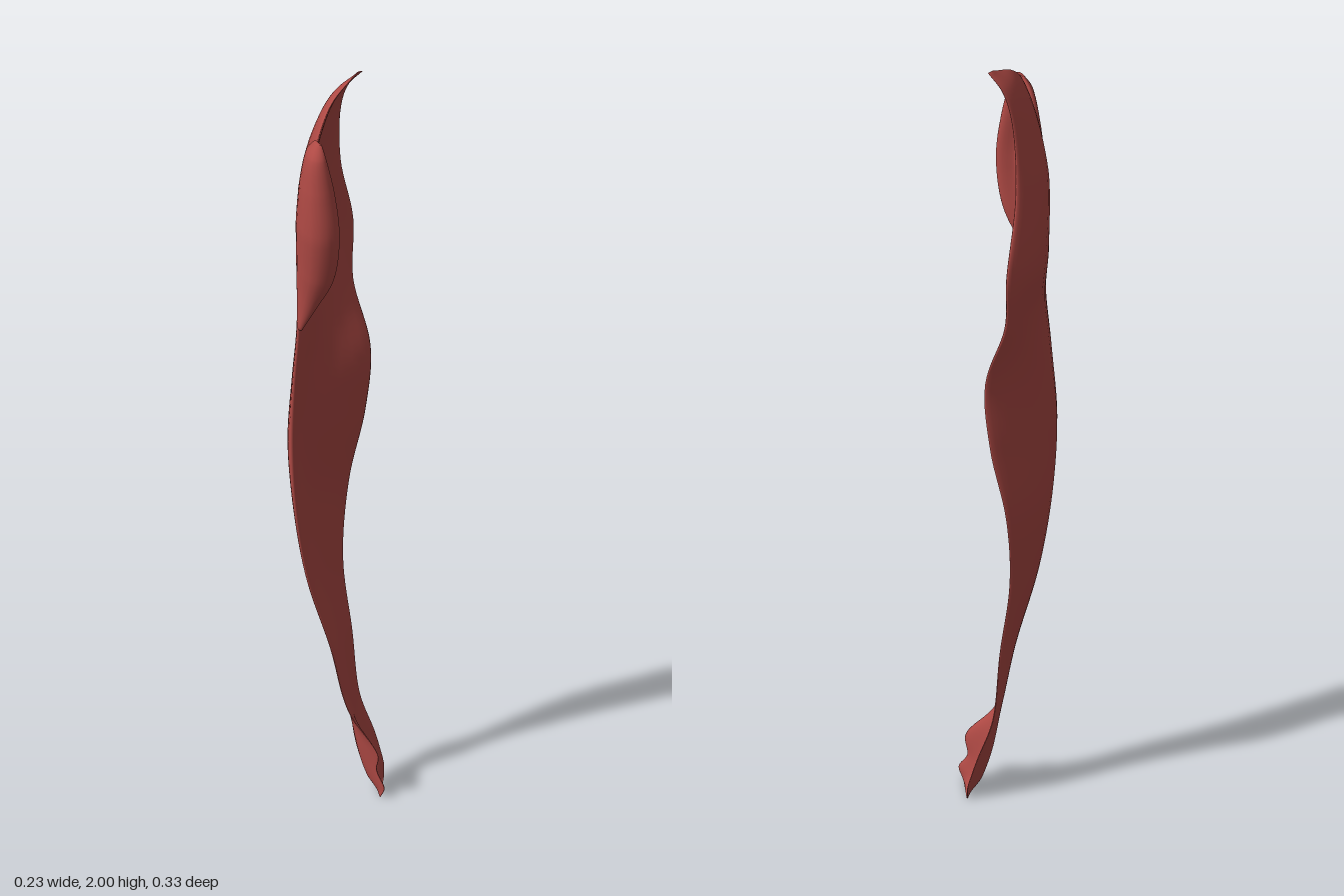
import * as THREE from 'three';

// Section: [y, thickness, front lip x, z, middle x, z, back lip x, z], listed top to bottom.
const BELLY = [
  [2.0, 0.004, 0.026, -0.046, 0.03, -0.052, 0.037, -0.058],
  [1.955, 0.014, -0.012, 0.03, -0.015, -0.02, 0.002, -0.068],
  [1.88, 0.022, -0.03, 0.092, -0.046, 0, -0.022, -0.08],
  [1.7, 0.034, -0.062, 0.085, -0.082, -0.02, -0.035, -0.117],
  [1.5, 0.036, -0.074, 0.085, -0.081, -0.06, -0.018, -0.165],
  [1.35, 0.034, -0.072, 0.1, -0.07, -0.025, -0.012, -0.143],
  [1.18, 0.032, -0.083, 0.1, -0.083, -0.005, 0.037, -0.123],
  [1.0, 0.032, -0.091, 0.087, -0.098, 0.01, 0.026, -0.12],
  [0.8, 0.028, -0.086, 0.07, -0.09, -0.005, -0.01, -0.106],
  [0.6, 0.022, -0.064, 0.046, -0.063, -0.008, -0.016, -0.077],
  [0.4, 0.016, -0.016, 0.02, -0.015, -0.025, 0.008, -0.071],
  [0.22, 0.01, 0.022, 0.004, 0.015, -0.035, 0.024, -0.078],
  [0.12, 0.012, 0.097, 0.016, 0.034, -0.03, 0.058, -0.082],
  [0.07, 0.013, 0.092, 0.009, 0.048, -0.03, 0.073, -0.081],
  [0.03, 0.013, 0.113, 0.018, 0.064, -0.03, 0.083, -0.078],
  [0.0, 0.008, 0.102, 0.013, 0.086, -0.03, 0.084, -0.073],
];
const FLAP = [
  [1.895, 0.008, -0.01, 0.115, -0.02, 0.112, -0.032, 0.098],
  [1.86, 0.03, 0.004, 0.123, -0.022, 0.126, -0.052, 0.082],
  [1.77, 0.046, 0.024, 0.123, -0.018, 0.135, -0.07, 0.07],
  [1.65, 0.052, 0.037, 0.126, -0.015, 0.138, -0.082, 0.062],
  [1.52, 0.042, 0.02, 0.118, -0.026, 0.122, -0.083, 0.062],
  [1.43, 0.026, -0.022, 0.11, -0.048, 0.105, -0.08, 0.073],
  [1.35, 0.006, -0.062, 0.1, -0.069, 0.098, -0.077, 0.088],
];

// Lofts a closed, lens-thick sheet through the sections.
function loftSheet(sections, rows, cols) {
  const n = sections.length;
  const rails = [2, 4, 6].map((k) => new THREE.CatmullRomCurve3(
    sections.map((s) => new THREE.Vector3(s[k], s[0], s[k + 1]))));
  const ring = 2 * cols;
  const positions = [];
  const index = [];

  for (let i = 0; i <= rows; i++) {
    const v = i / rows;
    const f = v * (n - 1);
    const s = Math.min(Math.floor(f), n - 2);
    const thickness = THREE.MathUtils.lerp(sections[s][1], sections[s + 1][1], f - s);
    const mid = new THREE.CatmullRomCurve3(rails.map((r) => r.getPoint(v)));
    for (let j = 0; j < ring; j++) {
      // Outer face runs front to back, inner face returns
      const a = (j / ring) * Math.PI * 2;
      const u = (1 - Math.cos(a)) / 2;
      const p = mid.getPoint(u);
      const t = mid.getTangent(u);
      const len = Math.hypot(t.x, t.z) || 1;
      const h = Math.sin(a) * thickness / 2;
      positions.push(p.x + (t.z / len) * h, p.y, p.z - (t.x / len) * h);
    }
  }
  for (let i = 0; i < rows; i++) {
    for (let j = 0; j < ring; j++) {
      const a = i * ring + j;
      const b = i * ring + (j + 1) % ring;
      index.push(a, b, a + ring, b, b + ring, a + ring);
    }
  }
  // End caps
  const last = rows * ring;
  for (let j = 1; j < ring - 1; j++) {
    index.push(0, j + 1, j, last, last + j, last + j + 1);
  }
  const geometry = new THREE.BufferGeometry();
  geometry.setAttribute('position', new THREE.Float32BufferAttribute(positions, 3));
  geometry.setIndex(index);
  geometry.computeVertexNormals();
  return geometry;
}

export function createModel() {
  const group = new THREE.Group();
  group.name = 'thighMuscle';
  const muscleRed = new THREE.MeshStandardMaterial({ color: 0xb04a45 });
  muscleRed.name = 'muscleRed';

  // Long curved belly, tapering to the hooked foot
  const belly = new THREE.Mesh(loftSheet(BELLY, 120, 16), muscleRed);
  belly.name = 'muscleBelly';

  // Leaf-shaped fold along the upper front edge
  const flap = new THREE.Mesh(loftSheet(FLAP, 48, 14), muscleRed);
  flap.name = 'upperFrontFlap';

  group.add(belly, flap);
  return group;
}
